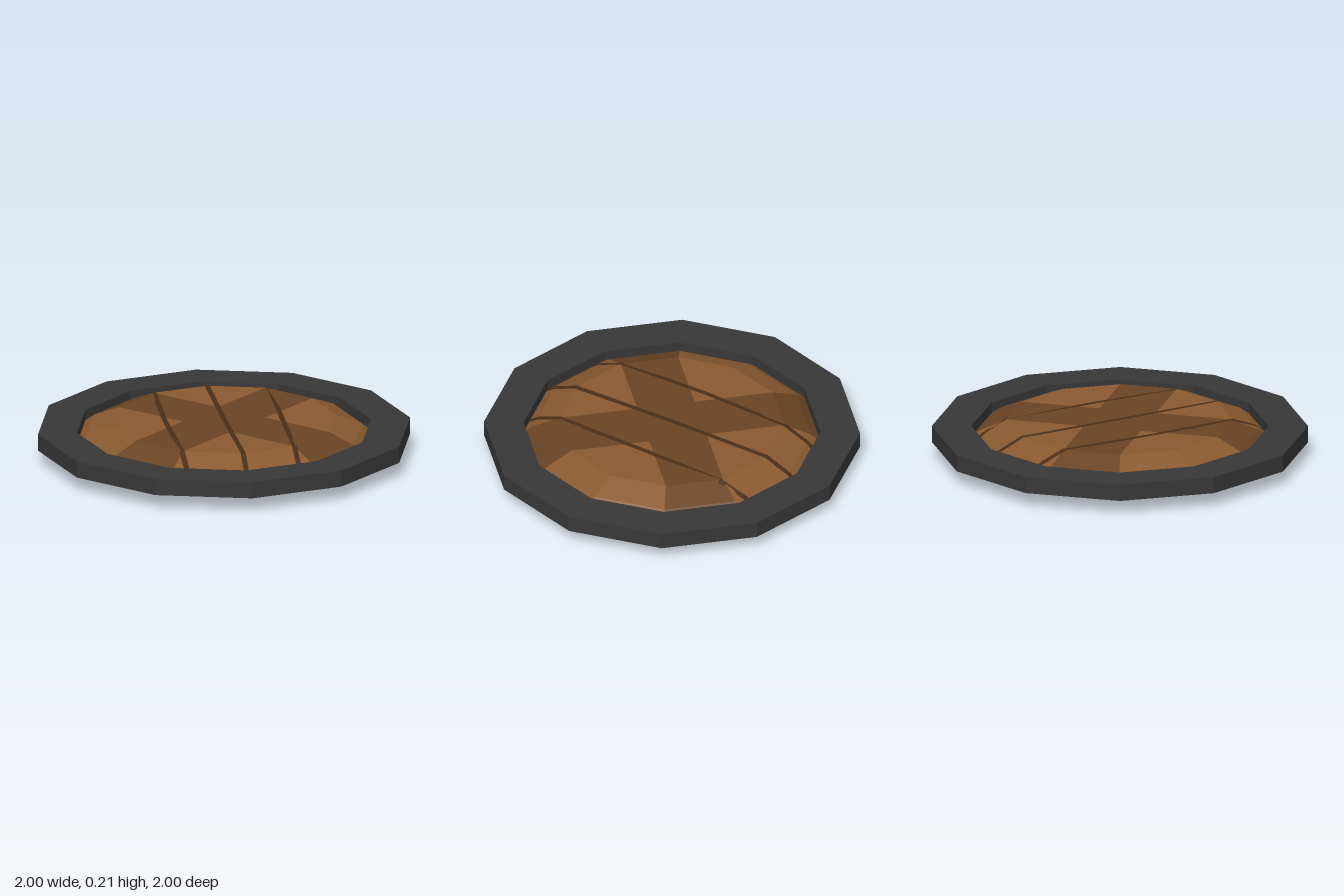
import * as THREE from 'three';

const mat = (color) => new THREE.MeshStandardMaterial({ color, flatShading: true, side: THREE.DoubleSide });
const SIDES = 12;
// Dome profile: [radius, height] from the flat top down to the rim
const PROFILE = [[0.6, 0.203], [0.74, 0.146], [0.795, 0.105]];

const polar = (r, deg, y) => {
  const a = THREE.MathUtils.degToRad(deg);
  return [r * Math.cos(a), y, r * Math.sin(a)];
};

// Fans a polygon (listed by increasing angle) into upward-facing triangles
function fan(out, ...p) {
  for (let i = 1; i < p.length - 1; i++) out.push(...p[0], ...p[i + 1], ...p[i]);
}

function mesh(name, geometry, material) {
  const m = new THREE.Mesh(geometry, material);
  m.name = name;
  return m;
}

function fromTriangles(name, data, material) {
  const g = new THREE.BufferGeometry();
  g.setAttribute('position', new THREE.Float32BufferAttribute(data, 3));
  g.computeVertexNormals();
  return mesh(name, g, material);
}

const lathe = (points) =>
  new THREE.LatheGeometry(points.map(([r, y]) => new THREE.Vector2(r, y)), SIDES);

// Height of the faceted dome above a point
function domeHeight(x, z) {
  let rho = 0;
  for (let i = 0; i < SIDES; i++) {
    const [nx, , nz] = polar(1, 15 + i * 30, 0);
    rho = Math.max(rho, (x * nx + z * nz) / Math.cos(Math.PI / SIDES));
  }
  if (rho <= PROFILE[0][0]) return PROFILE[0][1];
  const i = rho <= PROFILE[1][0] ? 0 : 1;
  const [r0, y0] = PROFILE[i], [r1, y1] = PROFILE[i + 1];
  return y0 + ((rho - r0) / (r1 - r0)) * (y1 - y0);
}

export function createModel() {
  const group = new THREE.Group();
  const iron = mat(0x383838);
  const wood = mat(0x8a5a30);
  const darkWood = mat(0x6a4424);
  const groove = mat(0x4a2f18);

  // Twelve-sided rim
  group.add(mesh('rim', lathe([
    [0.79, 0.077], [1, 0.077], [1, 0.167], [0.79, 0.167], [0.79, 0.077],
  ]), iron));

  // Domed boards, with a darker diagonal cross
  const light = [], dark = [];
  const [topR, topY] = PROFILE[0];
  for (let k = 0; k < 4; k++) {
    const a = k * 90;
    const notch = polar(0.22, a, topY);
    fan(light, notch, ...[-30, 0, 30].map((d) => polar(topR, a + d, topY)));
    fan(dark, [0, topY, 0], notch, polar(topR, a + 30, topY),
      polar(topR, a + 60, topY), polar(0.22, a + 90, topY));
  }
  for (let s = 0; s < SIDES; s++) {
    for (let i = 0; i < 2; i++) {
      const [r0, y0] = PROFILE[i], [r1, y1] = PROFILE[i + 1];
      fan(s % 3 === 1 ? dark : light, polar(r0, s * 30, y0), polar(r1, s * 30, y1),
        polar(r1, s * 30 + 30, y1), polar(r0, s * 30 + 30, y0));
    }
  }
  group.add(fromTriangles('boards', light, wood));
  group.add(fromTriangles('cross', dark, darkWood));

  // Hollow underside
  group.add(mesh('underside', lathe([[0, 0.15], [0.56, 0.15], [0.79, 0.09]]), darkWood));

  // Plank seams, slightly crooked: x, then sideways drift along z
  const seams = [
    [-0.3, [0, 0, 0, -0.015, -0.005, 0, 0]],
    [0, [0, 0, 0, 0, 0.012, 0.008, 0.005]],
    [0.3, [0, 0.01, 0.02, 0.008, 0, 0, 0]],
  ];
  for (const [x, drift] of seams) {
    const inset = Math.abs(x) * Math.tan(Math.PI / SIDES);
    const zs = [-0.79, -0.74, -0.6, 0, 0.6, 0.74, 0.79].map((z) => z - Math.sign(z) * inset);
    const corner = (i, side) => {
      const px = x + drift[i] + side * 0.014;
      return [px, domeHeight(px, zs[i]) + 0.003, zs[i]];
    };
    const data = [];
    for (let i = 0; i < zs.length - 1; i++) {
      fan(data, corner(i, -1), corner(i, 1), corner(i + 1, 1), corner(i + 1, -1));
    }
    group.add(fromTriangles('plankSeam', data, groove));
  }

  // Bracket-shaped handle with chamfered edges
  const outline = [[-0.2, 0.16], [-0.195, 0.02], [0.195, 0.02], [0.195, 0.16],
    [0.155, 0.16], [0.155, 0.05], [-0.155, 0.05], [-0.16, 0.16]];
  const shape = new THREE.Shape(outline.map(([x, y]) => new THREE.Vector2(x, y)));
  const handle = new THREE.ExtrudeGeometry(shape, {
    depth: 0.04, bevelEnabled: true, bevelSize: 0.02, bevelThickness: 0.02, bevelSegments: 2,
  });
  handle.translate(0, 0, -0.02);
  group.add(mesh('handle', handle, wood));

  return group;
}
